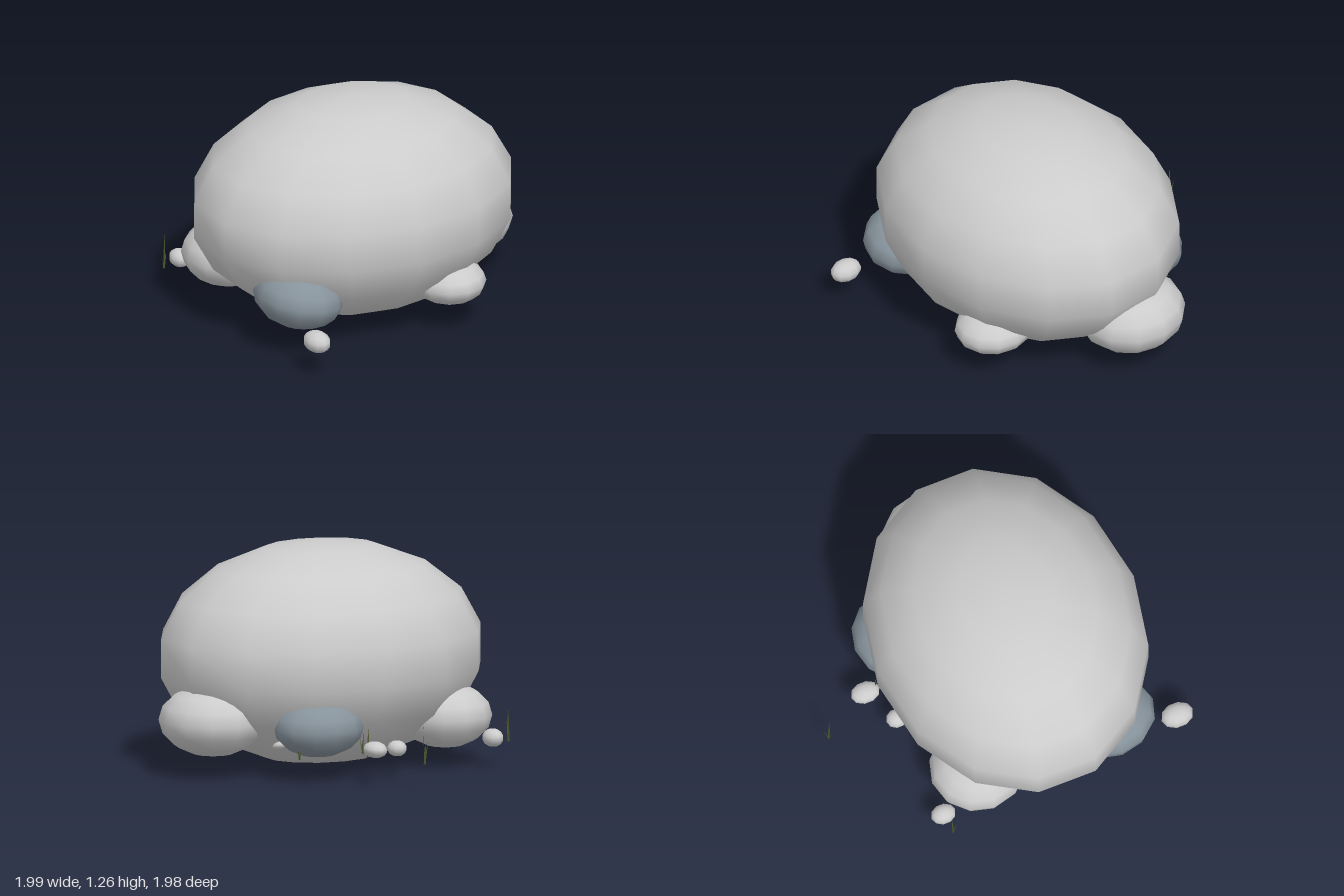
import * as THREE from 'three';

const grey = new THREE.MeshStandardMaterial({ color: 0xcccccc });
const slate = new THREE.MeshStandardMaterial({ color: 0x87939c });
const green = new THREE.MeshStandardMaterial({ color: 0x4c5c30, side: THREE.DoubleSide });

// Smooth low-poly ellipsoid stone
function stone(name, pos, radii, segs, material = grey, tilt = [0, 0, 0]) {
  const geo = new THREE.SphereGeometry(1, segs[0], segs[1], Math.PI / 2);
  const mesh = new THREE.Mesh(geo, material);
  mesh.name = name;
  mesh.position.set(...pos);
  mesh.scale.set(...radii);
  mesh.rotation.set(...tilt);
  return mesh;
}

// Tuft of thin tapering blades fanning out from one root
function grassTuft(x, z, height, spin) {
  const tuft = new THREE.Group();
  tuft.name = 'grassTuft';
  const blades = [[0, 1, 0.04], [2.1, 0.6, 0.22], [4.2, 0.55, 0.2]];
  for (const [turn, size, lean] of blades) {
    const h = height * size;
    const shape = new THREE.Shape();
    shape.moveTo(-0.006, 0);
    shape.lineTo(0.006, 0);
    shape.lineTo(0.004, h * 0.6);
    shape.lineTo(0, h);
    shape.lineTo(-0.004, h * 0.6);
    const blade = new THREE.Mesh(new THREE.ShapeGeometry(shape), green);
    blade.name = 'grassBlade';
    blade.rotation.set(lean, turn + spin, 0, 'YXZ');
    tuft.add(blade);
  }
  tuft.position.set(x, 0.145, z);
  return tuft;
}

export function createModel() {
  const model = new THREE.Group();
  model.name = 'boulderCluster';

  // Main boulder
  model.add(stone('mainBoulder', [-0.057, 0.638, 0.13], [0.967, 0.632, 0.785], [14, 9]));

  // Boulders leaning around its foot
  const side = [12, 8];
  model.add(
    stone('frontRightBoulder', [-0.63, 0.31, 0.51], [0.25, 0.175, 0.28], side, slate, [0, 0, -0.15]),
    stone('leftBoulder', [0.7, 0.32, 0.015], [0.3, 0.203, 0.315], side),
    stone('frontLeftBoulder', [0.26, 0.268, 0.65], [0.21, 0.125, 0.23], side),
    stone('backRightBoulder', [-0.63, 0.285, -0.27], [0.265, 0.185, 0.275], side),
    stone('backLeftBoulder', [0.26, 0.305, -0.42], [0.26, 0.165, 0.235], side, slate),
  );

  // Scattered pebbles
  const pebbles = [
    [[-0.735, 0.2, 0.895], [0.072, 0.061, 0.096], 0],
    [[0.04, 0.2, -0.68], [0.063, 0.046, 0.087], 0],
    [[-0.79, 0.18, -0.54], [0.058, 0.052, 0.073], 0],
    [[0.41, 0.19, -0.26], [0.05, 0.026, 0.056], 0.3],
    [[-0.16, 0.175, -0.57], [0.055, 0.045, 0.062], 0],
  ];
  for (const [pos, radii, tilt] of pebbles) {
    model.add(stone('pebble', pos, radii, [10, 7], grey, [tilt, 0, 0]));
  }

  // Grass tufts along the back
  const tufts = [
    [-0.12, -0.965, 0.235],
    [-0.9, -0.525, 0.21],
    [0.05, -0.61, 0.2],
    [0.01, -0.48, 0.15],
    [0.42, -0.49, 0.08],
  ];
  tufts.forEach(([x, z, h], i) => model.add(grassTuft(x, z, h, i * 1.3 + 0.8)));

  return model;
}
